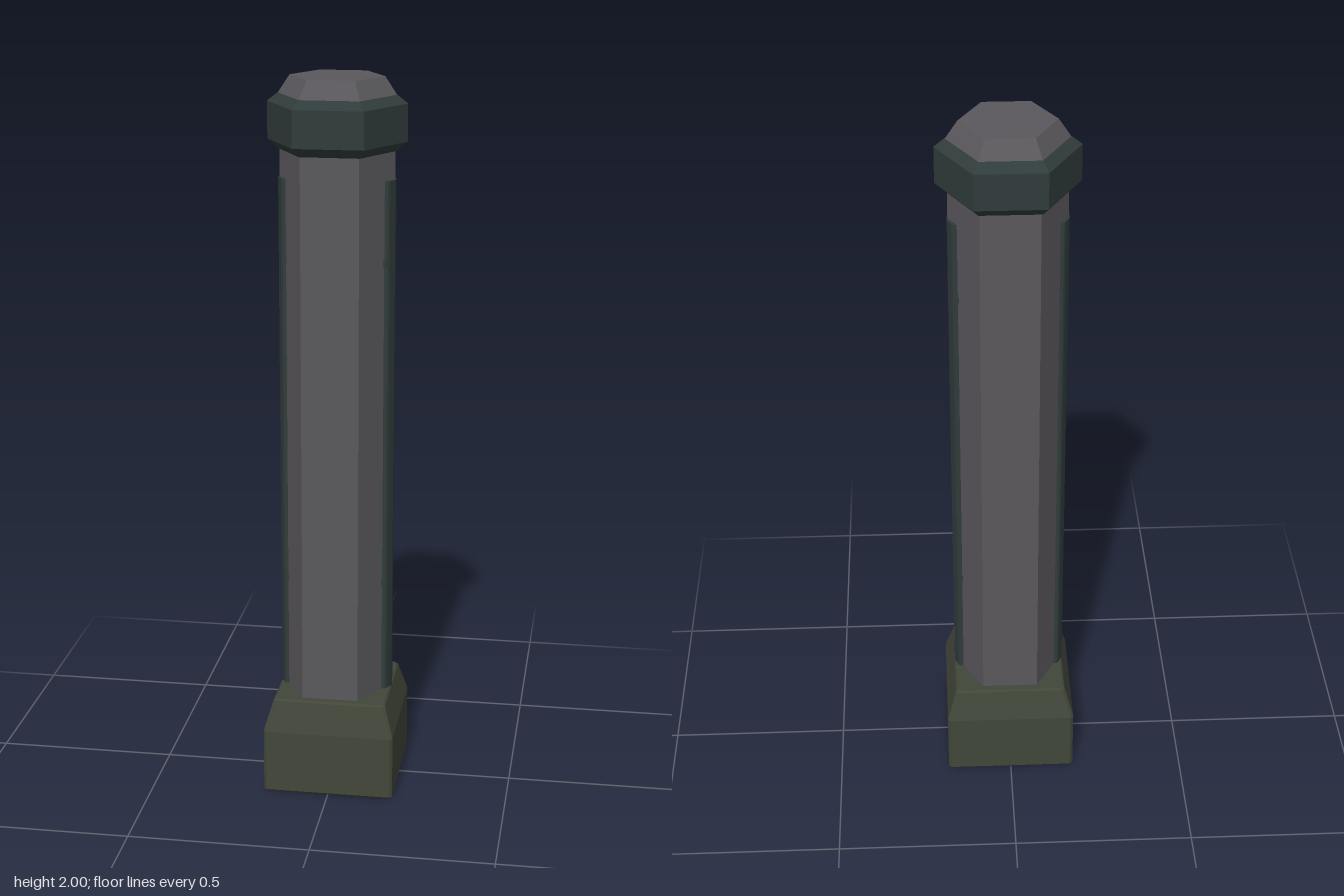
import * as THREE from 'three';

const material = (name, color) => {
  const m = new THREE.MeshStandardMaterial({ color, flatShading: true });
  m.name = name;
  return m;
};

// Faceted solid of revolution from [radius, height] pairs, listed bottom to top
function faceted(profile, sides) {
  const points = profile.map(([r, y]) => new THREE.Vector2(r, y));
  return new THREE.LatheGeometry(points, sides, Math.PI / sides, Math.PI * 2);
}

// Square block with narrow chamfered corners: an eight-sided ring pushed out to a square
function squareBlock(profile, chamfer) {
  const geometry = faceted(profile, 8);
  const p = geometry.attributes.position;
  for (let i = 0; i < p.count; i++) {
    const x = p.getX(i), z = p.getZ(i), r = Math.hypot(x, z);
    if (r < 0.001) continue;
    const wide = Math.abs(x) > Math.abs(z);
    p.setX(i, Math.sign(x) * (wide ? r : r - chamfer));
    p.setZ(i, Math.sign(z) * (wide ? r - chamfer : r));
  }
  geometry.computeVertexNormals();
  return geometry;
}

export function createModel() {
  const grey = material('column grey', 0x5a585c);
  const teal = material('dark teal metal', 0x303c3b);
  const olive = material('olive base', 0x42473a);
  const model = new THREE.Group();
  model.name = 'bollard';

  const add = (name, geometry, mat, parent = model) => {
    const mesh = new THREE.Mesh(geometry, mat);
    mesh.name = name;
    parent.add(mesh);
    return mesh;
  };

  // Base with sloped shoulders
  add('base', squareBlock([
    [0, 0], [0.177, 0], [0.183, 0.006], [0.183, 0.185],
    [0.158, 0.27], [0.153, 0.275], [0, 0.275],
  ], 0.008), olive);

  // Hexagonal column, collar and cap
  add('column', faceted([[0.156, 0.265], [0.156, 1.82]], 6), grey);
  add('collar', faceted([
    [0.14, 1.805], [0.16, 1.805], [0.188, 1.83], [0.188, 1.93], [0.16, 1.952], [0.14, 1.952],
  ], 6), teal);
  add('cap', faceted([[0.16, 1.95], [0.127, 2], [0, 2]], 6), grey);

  // Bevelled rails along the left and right corners, each with small clips
  const section = new THREE.Shape([
    [0.12, -0.04], [0.142, -0.04], [0.147, -0.035], [0.158, -0.01],
    [0.158, 0.01], [0.147, 0.035], [0.142, 0.04], [0.12, 0.04],
  ].map(([x, z]) => new THREE.Vector2(x, z)));
  const railGeometry = new THREE.ExtrudeGeometry(section, { depth: 1.46, bevelEnabled: false });
  railGeometry.rotateX(-Math.PI / 2).translate(0, 0.27, 0);
  const clipGeometry = new THREE.BoxGeometry(0.012, 0.02, 0.088);

  for (const [side, angle] of [['left', 0], ['right', Math.PI]]) {
    const rail = new THREE.Group();
    rail.name = side + 'Rail';
    rail.rotation.y = angle;
    model.add(rail);
    add(side + 'RailStrip', railGeometry, teal, rail);
    for (const y of [0.6, 1.51]) {
      add(side + 'RailClip', clipGeometry, teal, rail).position.set(0.134, y, 0);
    }
  }
  return model;
}
